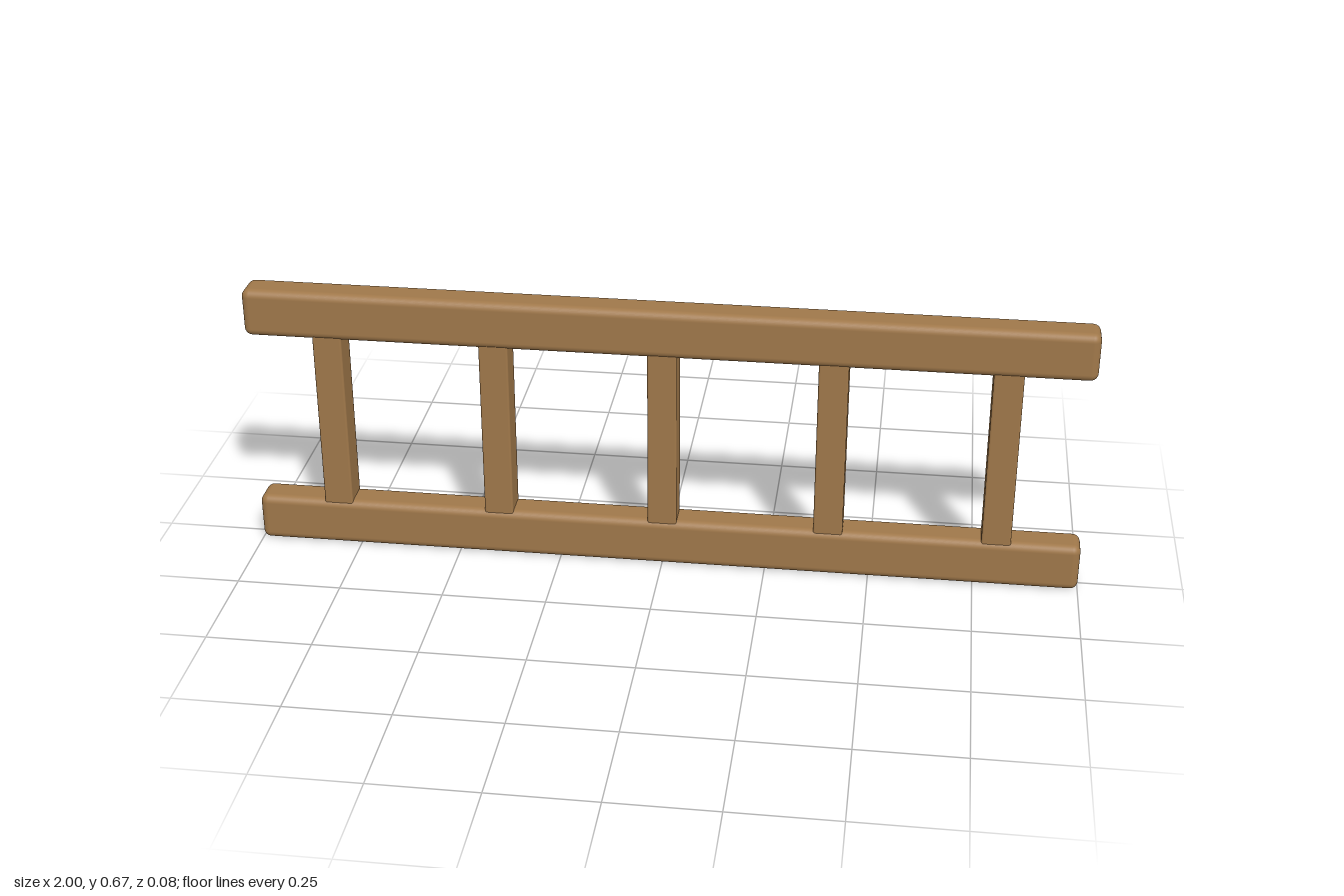
import * as THREE from 'three';
import { RoundedBoxGeometry } from 'three/addons/geometries/RoundedBoxGeometry.js';

export function createModel() {
  const group = new THREE.Group();
  group.name = 'ladder';
  const wood = new THREE.MeshStandardMaterial({ color: 0xa0784a });
  wood.name = 'wood';

  const addBeam = (name, geometry, x, y) => {
    const mesh = new THREE.Mesh(geometry, wood);
    mesh.name = name;
    mesh.position.set(x, y, 0);
    group.add(mesh);
  };

  // Two long rails with softened edges
  const railHeight = 0.118, top = 0.67;
  const railGeometry = new RoundedBoxGeometry(2, railHeight, 0.084, 4, 0.019);
  addBeam('lowerRail', railGeometry, 0, railHeight / 2);
  addBeam('upperRail', railGeometry, 0, top - railHeight / 2);

  // Five evenly spaced rungs, their ends sunk into the rails
  const rungGeometry = new RoundedBoxGeometry(0.07, 0.46, 0.074, 3, 0.005);
  for (let i = 0; i < 5; i++) {
    addBeam(`rung${i + 1}`, rungGeometry, -0.8 + i * 0.4, top / 2);
  }
  return group;
}
